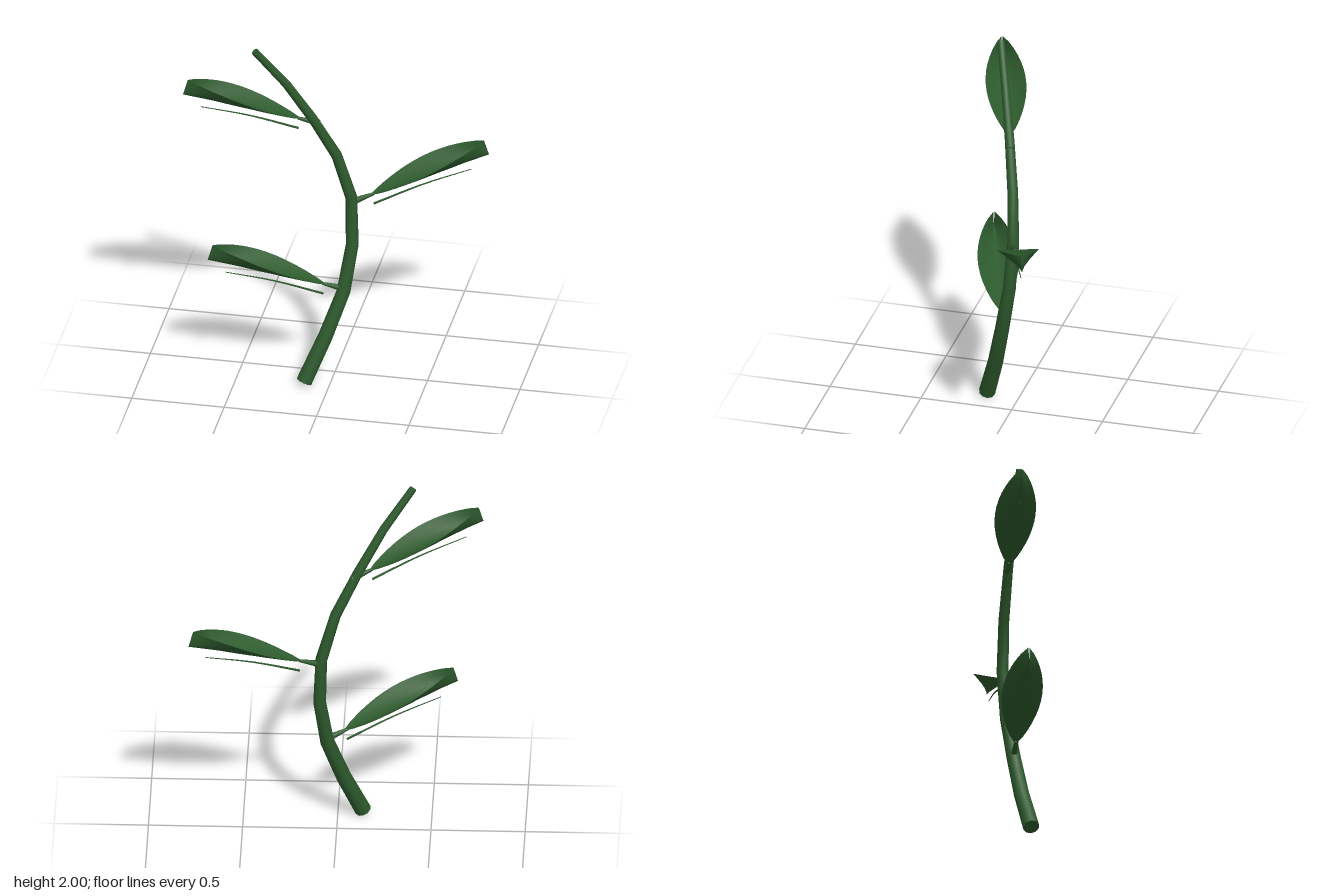
import * as THREE from 'three';
import { mergeGeometries } from 'three/addons/utils/BufferGeometryUtils.js';

const green = new THREE.MeshStandardMaterial({ color: 0x2d5a2d, side: THREE.DoubleSide });
green.name = 'leaf green';

// Capped tube through the points, with radius running from r0 to r1
function taperedTube(points, segments, sides, r0, r1) {
  const curve = new THREE.CatmullRomCurve3(points.map(p => new THREE.Vector3(...p)));
  const tube = new THREE.TubeGeometry(curve, segments, 1, sides);
  const pos = tube.attributes.position, v = new THREE.Vector3();
  for (let i = 0; i < pos.count; i++) {
    const t = Math.floor(i / (sides + 1)) / segments;
    const c = curve.getPointAt(t);
    v.fromBufferAttribute(pos, i).sub(c).multiplyScalar(r0 + (r1 - r0) * t).add(c);
    pos.setXYZ(i, v.x, v.y, v.z);
  }
  const caps = [[0, r0, -1], [1, r1, 1]].map(([t, r, sign]) => {
    const cap = new THREE.CircleGeometry(r, sides);
    const dir = curve.getTangentAt(t).multiplyScalar(sign);
    const turn = new THREE.Quaternion().setFromUnitVectors(new THREE.Vector3(0, 0, 1), dir);
    const c = curve.getPointAt(t);
    return cap.applyQuaternion(turn).translate(c.x, c.y, c.z);
  });
  return mergeGeometries([tube, ...caps]);
}

// Blade along +x: pointed outline, edges folded up ever more towards the tip
function bladeGeometry(length, halfWidth, fold) {
  const geo = new THREE.PlaneGeometry(1, 2, 14, 8);
  const pos = geo.attributes.position;
  for (let i = 0; i < pos.count; i++) {
    const u = pos.getX(i) + 0.5, side = pos.getY(i);
    const width = halfWidth * Math.pow(Math.max(Math.sin(Math.PI * u), 0), 0.8) + 0.003;
    const lift = fold * Math.sin(u * Math.PI / 2) * Math.pow(Math.abs(side), 1.5);
    pos.setXYZ(i, u * length, lift, -side * width);
  }
  geo.computeVertexNormals();
  return geo;
}

function part(name, geometry) {
  const mesh = new THREE.Mesh(geometry, green);
  mesh.name = name;
  return mesh;
}

export function createModel() {
  const model = new THREE.Group();
  model.name = 'branch';

  // Bowed stem
  model.add(part('stem', taperedTube([
    [-0.133, 0.018, 0.172], [-0.03, 0.27, 0.095], [0.055, 0.52, 0.035],
    [0.09, 0.77, -0.012], [0.085, 1.02, -0.032], [0.025, 1.26, -0.015],
    [-0.09, 1.5, 0.032], [-0.23, 1.75, 0.095], [-0.4, 1.988, 0.17],
  ], 8, 10, 0.044, 0.02)));

  // Leaves alternate from side to side
  const blade = bladeGeometry(0.665, 0.105, 0.088);
  const petiole = taperedTube([[-0.1, -0.005, 0], [-0.045, -0.002, 0], [0.02, 0, 0]], 3, 8, 0.02, 0.008);
  const vein = taperedTube([[0, -0.057, 0], [0.28, -0.042, 0], [0.55, -0.05, 0]], 8, 6, 0.006, 0.002);
  const leaves = [
    ['lowerLeaf', [-0.035, 0.56, 0.065], Math.PI],
    ['middleLeaf', [0.178, 1.055, -0.065], 0],
    ['upperLeaf', [-0.17, 1.545, 0.058], Math.PI],
  ];
  for (const [name, base, turn] of leaves) {
    const leaf = new THREE.Group();
    leaf.name = name;
    leaf.add(part('blade', blade), part('petiole', petiole), part('vein', vein));
    leaf.position.set(...base);
    leaf.rotation.set(0, turn + 0.337, 0.3, 'YXZ');
    model.add(leaf);
  }
  return model;
}
